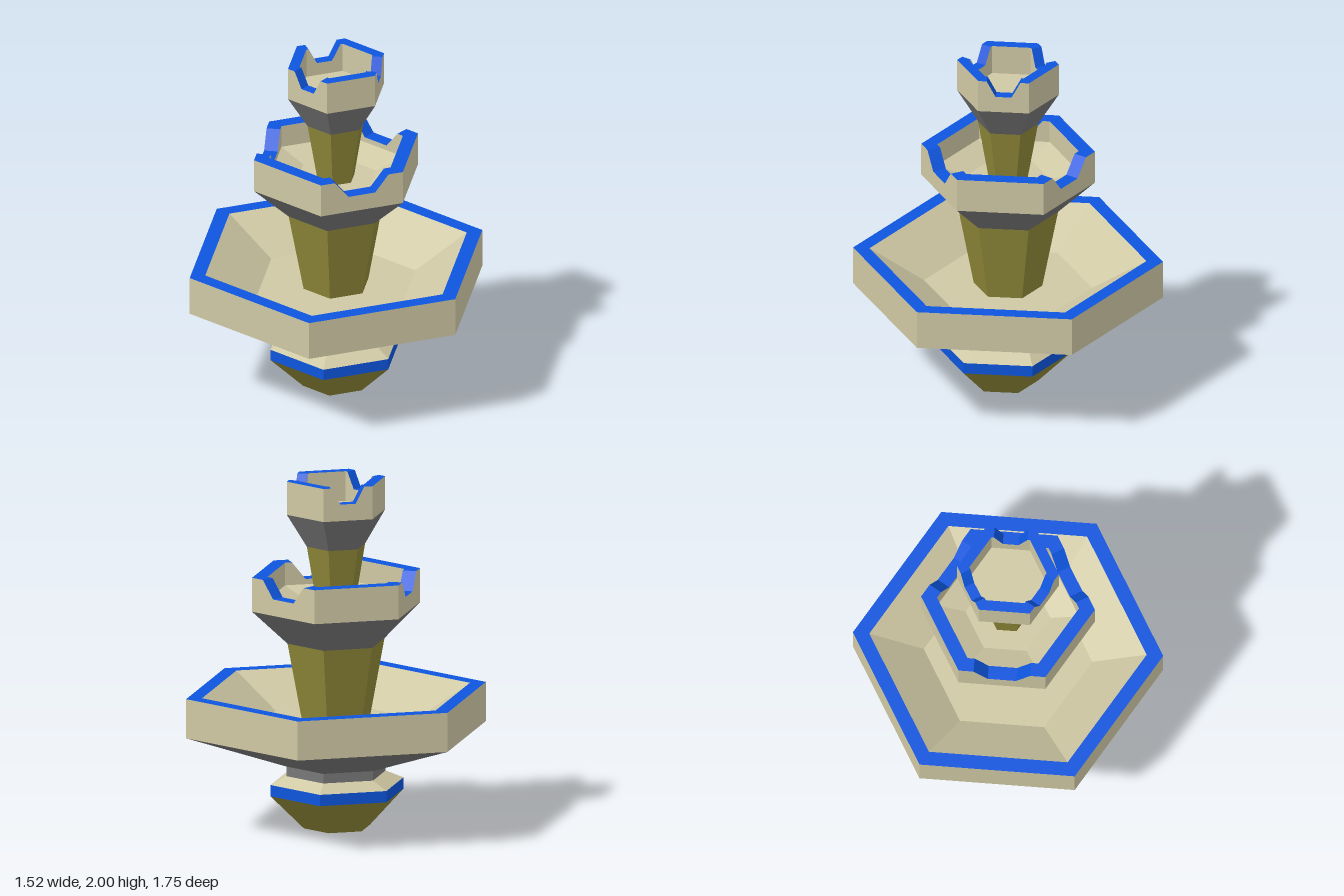
import * as THREE from 'three';

const paint = (color) => new THREE.MeshStandardMaterial({ color, flatShading: true });

export function createModel() {
  const stone = paint(0xcfc8a4), slate = paint(0x777777), olive = paint(0x8f8838), blue = paint(0x0d55dd);
  const model = new THREE.Group();

  // Six-sided surface through [radius, y] points; upward profiles face out
  function hex(name, material, profile, parent = model) {
    const points = profile.map(([r, y]) => new THREE.Vector2(r, y));
    const mesh = new THREE.Mesh(new THREE.LatheGeometry(points, 6), material);
    mesh.name = name;
    parent.add(mesh);
    return mesh;
  }

  // One mitred side of a parapet, optionally with a tapered notch in the middle
  function wallSide(outer, inner, y0, y1, notch) {
    const h = outer / 2;
    const outline = [[-h, y0], [h, y0], [h, y1]];
    if (notch) {
      const { top, bottom, y } = notch;
      outline.push([top, y1], [bottom, y], [-bottom, y], [-top, y1]);
    }
    outline.push([-h, y1]);
    const shape = new THREE.Shape(outline.map(([x, y]) => new THREE.Vector2(x, y)));
    const apothem = Math.cos(Math.PI / 6);
    const depth = (outer - inner) * apothem;
    const geometry = new THREE.ExtrudeGeometry(shape, { depth, bevelEnabled: false });
    const pos = geometry.attributes.position;
    for (let i = 0; i < pos.count; i++) {
      const x = pos.getX(i);
      if (pos.getZ(i) < depth / 2 && Math.abs(x) > h - 1e-4) pos.setX(i, Math.sign(x) * inner / 2);
    }
    geometry.translate(0, 0, inner * apothem);
    geometry.computeVertexNormals();
    return geometry;
  }

  // Parapet of six sides; every second one is notched, starting at side `first`
  function parapet(name, outer, inner, y0, y1, notch, first) {
    const group = new THREE.Group();
    group.name = name;
    for (let i = 0; i < 6; i++) {
      const cut = i % 2 === first ? notch : null;
      const side = new THREE.Mesh(wallSide(outer, inner, y0, y1, cut), [stone, blue]);
      side.name = cut ? 'notchedSide' : 'plainSide';
      side.rotation.y = (i + 0.5) * Math.PI / 3;
      group.add(side);
    }
    model.add(group);
  }

  // Base, set slightly forward
  const shift = 0.022;
  const base = new THREE.Group();
  base.name = 'base';
  base.position.z = shift;
  model.add(base);
  hex('baseBottom', slate, [[0, 0], [0.193, 0]], base);
  hex('baseFoot', olive, [[0.193, 0], [0.388, 0.195]], base);
  hex('baseBand', blue, [[0.388, 0.195], [0.388, 0.26]], base);

  // Shoulder leans back from the base to the centred neck
  const shoulder = hex('baseShoulder', stone, [[0.388, 0.26], [0.29, 0.31]]);
  const pos = shoulder.geometry.attributes.position;
  for (let i = 0; i < pos.count; i++) if (pos.getY(i) < 0.28) pos.setZ(i, pos.getZ(i) + shift);
  hex('neck', slate, [[0.29, 0.31], [0.29, 0.365]]);

  // Large lower bowl
  hex('lowerBowlUnderside', slate, [[0.29, 0.365], [0.875, 0.56]]);
  hex('lowerBowlWall', stone, [[0.875, 0.56], [0.875, 0.785]]);
  hex('lowerBowlRim', blue, [[0.875, 0.785], [0.782, 0.785]]);
  hex('lowerBowlInside', stone, [[0.782, 0.785], [0.475, 0.6], [0, 0.6]]);

  // Middle tier
  hex('lowerColumn', olive, [[0.194, 0.6], [0.283, 1.07]]);
  hex('middleBowlUnderside', slate, [[0.283, 1.07], [0.49, 1.265]]);
  hex('middleBowlWall', stone, [[0.49, 1.265], [0.49, 1.33]]);
  parapet('middleParapet', 0.49, 0.4, 1.33, 1.46, { top: 0.16, bottom: 0.08, y: 1.36 }, 0);
  hex('middleBowlInside', stone, [[0.4, 1.33], [0.24, 1.27], [0, 1.27]]);

  // Top tier
  hex('upperColumn', olive, [[0.11, 1.27], [0.17, 1.62]]);
  hex('topCupUnderside', slate, [[0.17, 1.62], [0.287, 1.81]]);
  hex('topCupWall', stone, [[0.287, 1.81], [0.287, 1.83]]);
  parapet('topParapet', 0.287, 0.218, 1.83, 2, { top: 0.095, bottom: 0.045, y: 1.905 }, 1);
  hex('topCupFloor', stone, [[0.218, 1.83], [0, 1.83]]);

  return model;
}
